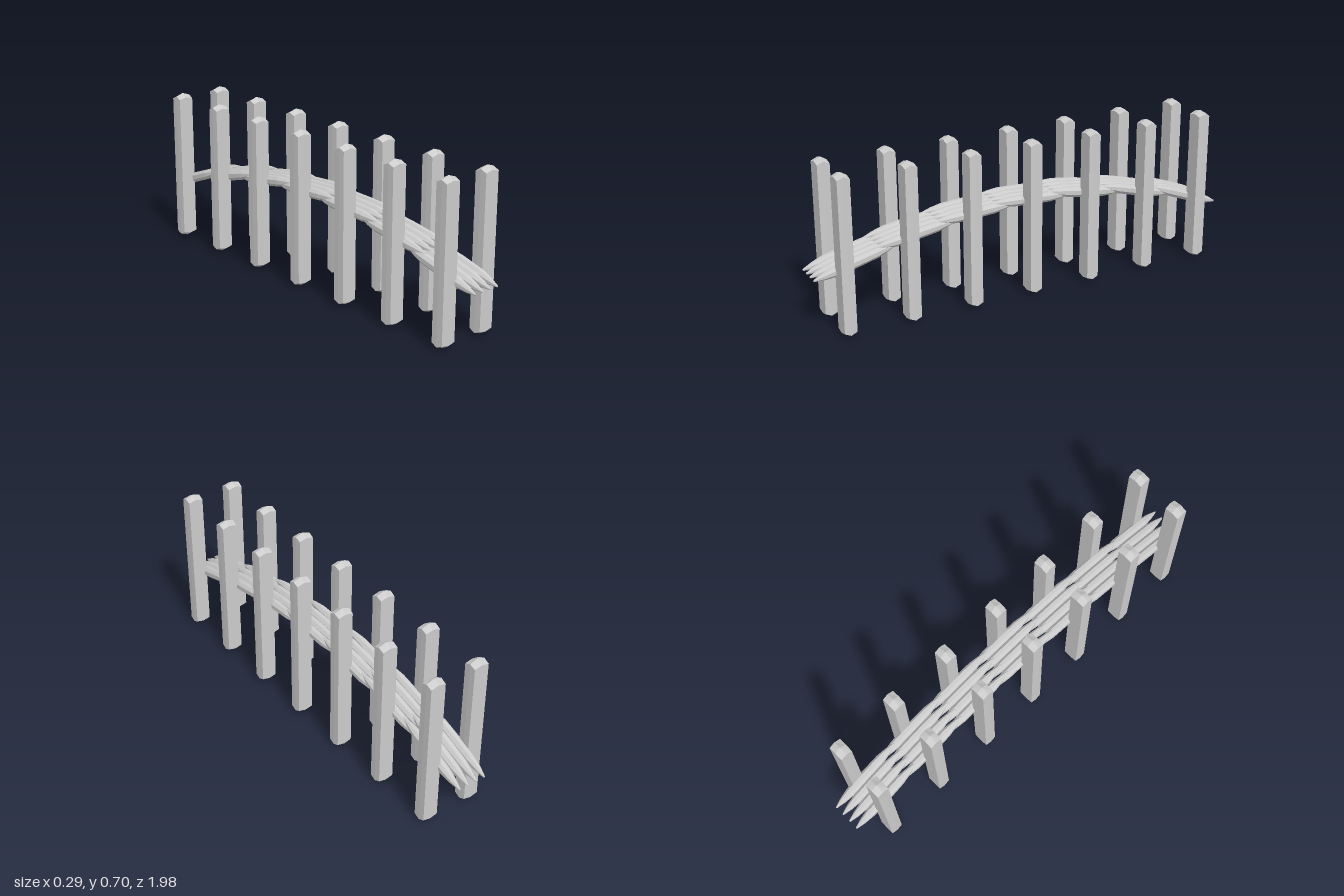
import * as THREE from 'three';

const POST = { w: 0.072, h: 0.704, d: 0.055 };
const LOG = 0.38, STEP = 0.27;

// Upright with blunt, four-facet caps at both ends
function postGeometry() {
  const geo = new THREE.BoxGeometry(POST.w, POST.h, POST.d, 2, 1, 2);
  const p = geo.attributes.position;
  for (let i = 0; i < p.count; i++) {
    const u = Math.abs(p.getX(i)) / (POST.w / 2), v = Math.abs(p.getZ(i)) / (POST.d / 2);
    const drop = 0.012 * u + 0.016 * v - 0.004 * u * v;
    p.setY(i, p.getY(i) - Math.sign(p.getY(i)) * drop);
    if (u > 0.9 && v > 0.9) p.setX(i, p.getX(i) * 0.97); // faintly bowed sides
  }
  geo.computeVertexNormals();
  return geo;
}

// Eight-sided log, sharpened at both ends, lying along z
function logGeometry() {
  const h = LOG / 2;
  const profile = [[0, -h], [0.004, -h + 0.003], [0.014, -h + 0.045], [0.021, -h + 0.095], [0.0225, 0],
    [0.021, h - 0.095], [0.014, h - 0.045], [0.004, h - 0.003], [0, h]];
  const geo = new THREE.LatheGeometry(profile.map(([r, y]) => new THREE.Vector2(r, y)), 8);
  geo.rotateY(Math.PI / 8);
  geo.rotateX(Math.PI / 2);
  geo.scale(1, 1.1, 1);
  return geo;
}

export function createModel() {
  const group = new THREE.Group();
  const material = new THREE.MeshStandardMaterial({ color: 0xcccccc, flatShading: true });
  const post = postGeometry(), log = logGeometry();

  // Two rows of seven posts
  const posts = new THREE.Group();
  posts.name = 'posts';
  for (const side of [-1, 1]) {
    for (let i = 0; i < 7; i++) {
      const mesh = new THREE.Mesh(post, material);
      mesh.name = side > 0 ? 'leftPost' : 'rightPost';
      mesh.position.set(side * 0.107, 0.003 + POST.h / 2, 0.875 - i * 0.287);
      posts.add(mesh);
    }
  }

  // Arched deck: four strands of overlapping logs, each front end riding over the next
  const deck = new THREE.Group();
  deck.name = 'deck';
  for (let s = 0; s < 4; s++) {
    for (let i = -3; i <= 3; i++) {
      const z = i * STEP;
      const mesh = new THREE.Mesh(log, material);
      mesh.name = 'deckLog';
      mesh.position.set((s - 1.5) * 0.042, 0.421 - 0.19 * z * z, z);
      mesh.rotation.x = Math.atan(0.38 * z) - 0.055;
      deck.add(mesh);
    }
  }

  group.add(posts, deck);
  return group;
}
